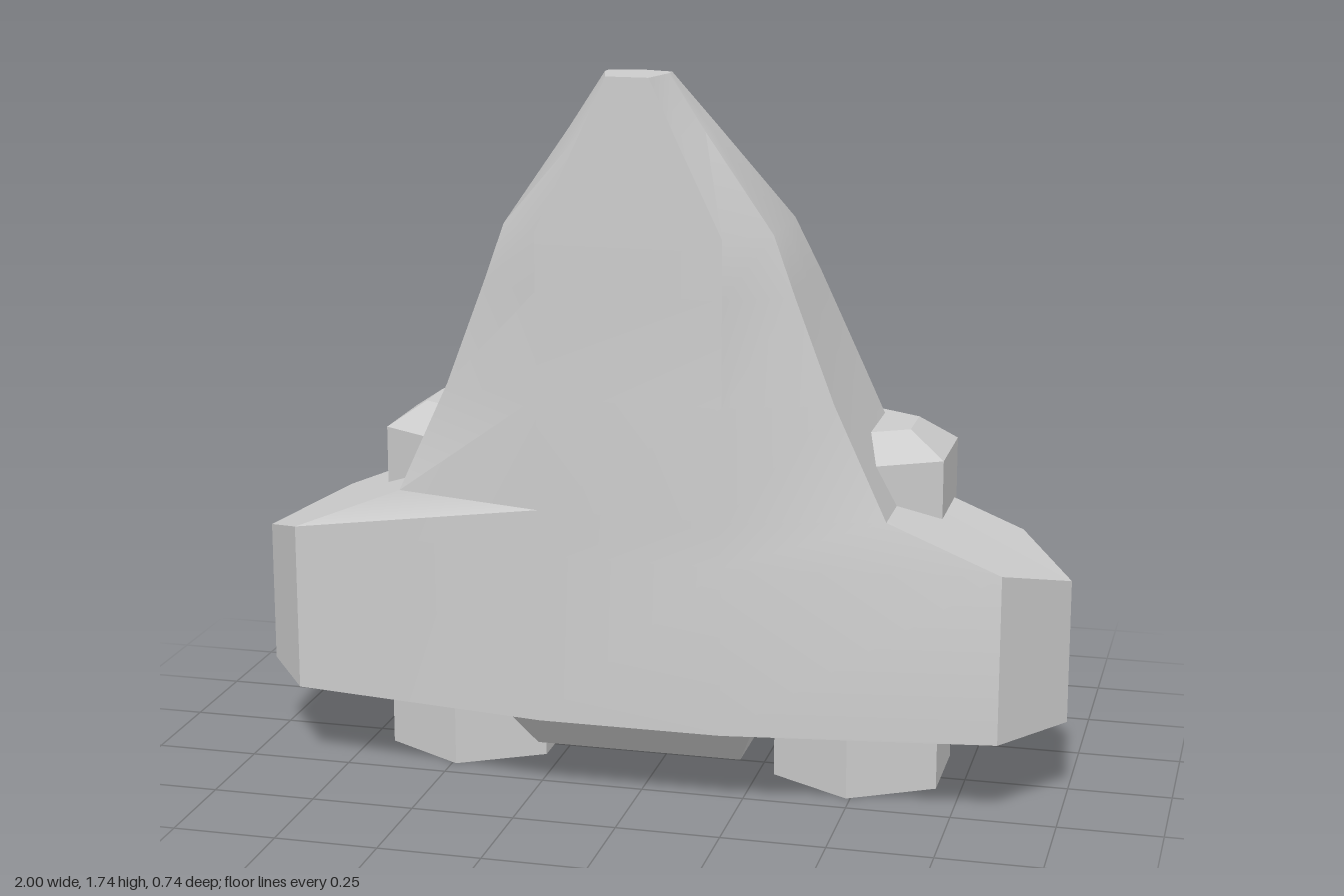
import * as THREE from 'three';
import { toCreasedNormals } from 'three/addons/utils/BufferGeometryUtils.js';

const smooth = new THREE.MeshStandardMaterial({ color: 0xcccccc });
const flat = new THREE.MeshStandardMaterial({ color: 0xcccccc, flatShading: true });

// Skin a stack of rings (bottom to top, each running +z -> +x -> -z) and cap the ends.
function loft(rings, capBottom = true) {
  const n = rings[0].length;
  const pos = rings.flat(2);
  const index = [];
  for (let r = 0; r < rings.length - 1; r++) {
    for (let i = 0; i < n; i++) {
      const a = r * n + i, b = r * n + (i + 1) % n;
      index.push(a, b, b + n, a, b + n, a + n);
    }
  }
  const top = (rings.length - 1) * n;
  for (let i = 1; i < n - 1; i++) {
    if (capBottom) index.push(0, i + 1, i);
    index.push(top, top + i, top + i + 1);
  }
  const geo = new THREE.BufferGeometry();
  geo.setAttribute('position', new THREE.Float32BufferAttribute(pos, 3));
  geo.setIndex(index);
  return toCreasedNormals(geo, Math.PI / 6);
}

// Full ring from its +x half, listed front to back.
function mirrorRing(half) {
  const left = half.filter(p => p[0] > 0).reverse().map(([x, y, z]) => [-x, y, z]);
  return [...half, ...left];
}

// Six-sided turned part.
function hexLathe(profile) {
  return new THREE.LatheGeometry(profile.map(p => new THREE.Vector2(...p)), 6);
}

function rect(path, x0, y0, x1, y1) {
  path.moveTo(x0, y0);
  path.lineTo(x1, y0);
  path.lineTo(x1, y1);
  path.lineTo(x0, y1);
  path.closePath();
  return path;
}

export function createModel() {
  const model = new THREE.Group();
  const add = (name, geo, mat = flat) => {
    const mesh = new THREE.Mesh(geo, mat);
    mesh.name = name;
    model.add(mesh);
    return mesh;
  };

  // Hull and wings: y, belly half width, side x, side front z, back z, ridge z, wing tip x, wing tip y
  const stations = [
    [0.2, 0.22, 0.86, 0.28, -0.12, -0.12, 1, 0.2],
    [0.61, 0.22, 0.86, 0.28, -0.12, -0.12, 1, 0.55],
    [0.72, 0.22, 0.59, 0.28, -0.12, -0.12],
    [0.99, 0.22, 0.465, 0.28, -0.12, -0.12],
    [1.24, 0.22, 0.37, 0.28, -0.04, -0.04],
    [1.38, 0.22, 0.32, 0.28, 0.035, 0.035],
    [1.61, 0.11, 0.16, 0.28, 0.16, 0.16],
    [1.74, 0.05, 0.075, 0.28, 0.25, 0.23],
  ];
  const rings = stations.map(([y, xf, xs, zs, zb, zr, xt = xs, yt = y]) => mirrorRing([
    [xf, y, 0.37], [xs, y, zs], [xt, yt, zs + (zb - zs) / 2], [xs, y, zb], [0, y, zr],
  ]));
  add('hull', loft(rings), smooth);

  // Tapered tail below the hull, closed by a plate with two recessed vents
  add('tailSkirt', loft([
    mirrorRing([[0.25, 0.11, 0.28], [0.25, 0.11, -0.08]]),
    mirrorRing([[0.29, 0.2, 0.36], [0.29, 0.2, -0.12]]),
  ], false));
  const plate = rect(new THREE.Shape(), -0.25, -0.28, 0.25, 0.08);
  for (const x of [-0.21, 0.015]) {
    plate.holes.push(rect(new THREE.Path(), x, -0.23, x + 0.195, 0.03));
  }
  const plateGeo = new THREE.ExtrudeGeometry(plate, { depth: 0.06, bevelEnabled: false });
  plateGeo.rotateX(-Math.PI / 2).translate(0, 0.11, 0);
  add('ventPlate', plateGeo);

  // Hexagonal engines with a recessed nozzle and a bevelled top
  const engine = hexLathe([
    [0, 0.07], [0.14, 0.07], [0.16, 0], [0.231, 0], [0.231, 0.82], [0.13, 0.88], [0, 0.88],
  ]);
  for (const side of [1, -1]) {
    const mesh = add(side > 0 ? 'leftEngine' : 'rightEngine', engine);
    mesh.position.set(0.49 * side, 0, -0.04);
  }

  // Faceted dome on the back
  const dome = hexLathe([[0.3, 0.08], [0.3, 0.23], [0.225, 0.33], [0.15, 0.37], [0, 0.37]]);
  dome.rotateX(-Math.PI / 2).translate(0, 0.62, 0);
  add('backDome', dome);

  return model;
}
